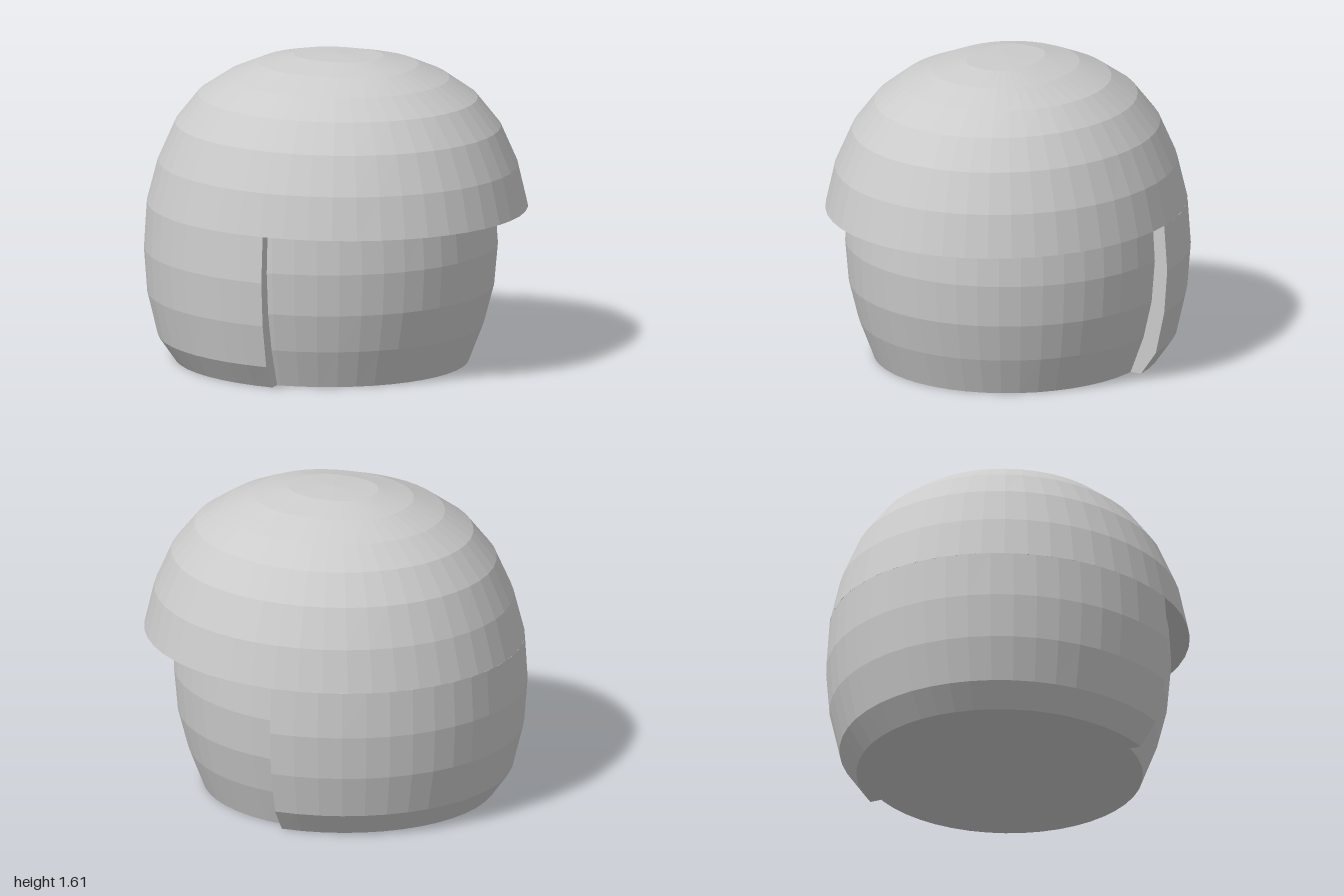
import * as THREE from 'three';

const SEGMENTS = 48;
const CUT_X = -0.04;   // vertical edge of the side opening
const BRIM_Y = 0.82;   // underside of the dome over the opening

// Closed ring in plan; power 2 is an ellipse, higher is squarer
function fullRing([y, cx, rx, rz, power = 2]) {
  const points = [];
  const curve = v => Math.sign(v) * Math.abs(v) ** (2 / power);
  for (let i = 0; i < SEGMENTS; i++) {
    const a = (i + 0.5) / SEGMENTS * Math.PI * 2;
    points.push([cx + rx * curve(Math.cos(a)), y, rz * curve(Math.sin(a))]);
  }
  return points;
}

// The same ring, cut off by a straight chord at CUT_X
function cutRing([y, cx, rx, rz]) {
  const points = [], half = SEGMENTS / 2;
  const start = Math.acos((CUT_X - cx) / rx);
  for (let i = 0; i <= half; i++) {
    const a = start + (2 * Math.PI - 2 * start) * i / half;
    points.push([cx + rx * Math.cos(a), y, rz * Math.sin(a)]);
  }
  return points;
}

// Solid through stacked rings, with fans closing both ends
function loft(name, rings, topRise = 0) {
  const n = rings[0].length, positions = rings.flat(2), index = [];
  for (let r = 0; r < rings.length - 1; r++) {
    for (let i = 0; i < n; i++) {
      const j = (i + 1) % n, a = r * n, b = a + n;
      index.push(a + i, b + i, a + j, b + i, b + j, a + j);
    }
  }
  [rings[0], rings[rings.length - 1]].forEach((ring, end) => {
    const centre = positions.length / 3;
    const mean = k => ring.reduce((sum, p) => sum + p[k], 0) / n;
    positions.push(mean(0), ring[0][1] + end * topRise, mean(2));
    const base = end ? (rings.length - 1) * n : 0;
    for (let i = 0; i < n; i++) {
      const j = (i + 1) % n;
      index.push(centre, base + (end ? j : i), base + (end ? i : j));
    }
  });
  const geometry = new THREE.BufferGeometry();
  geometry.setAttribute('position', new THREE.Float32BufferAttribute(positions, 3));
  geometry.setIndex(index);
  geometry.computeVertexNormals();
  const material = new THREE.MeshStandardMaterial({ color: 0xcccccc, flatShading: true });
  const mesh = new THREE.Mesh(geometry, material);
  mesh.name = name;
  return mesh;
}

export function createModel() {
  const group = new THREE.Group();
  group.name = 'cutawayDome';

  // Upper dome with overhanging brim: y, centre x, half width, half depth
  const dome = [
    [BRIM_Y, 0.007, 0.993, 0.912],
    [1.04, 0.01, 0.938, 0.863],
    [1.24, 0.01, 0.85, 0.775],
    [1.39, 0.01, 0.73, 0.66],
    [1.49, 0.01, 0.58, 0.53],
    [1.56, 0.012, 0.417, 0.355, 2.15],
    [1.602, 0.013, 0.235, 0.18, 2.3],
  ];
  group.add(loft('upperDome', dome.map(fullRing), 0.008));

  // Lower outer shell, on the closed side only
  const shell = [
    [0, 0.007, 0.847, 0.775],
    [0.125, 0.007, 0.935, 0.862],
    [0.35, 0.007, 0.99, 0.912],
    [0.58, 0.007, 1.007, 0.93],
    [BRIM_Y, 0.007, 0.993, 0.912],
  ];
  group.add(loft('lowerShell', shell.map(cutRing)));

  // Inner core, exposed under the brim
  const core = [
    [0, -0.07, 0.755, 0.713],
    [0.2, -0.07, 0.832, 0.79],
    [0.4, -0.07, 0.885, 0.838],
    [0.62, -0.07, 0.905, 0.857],
    [BRIM_Y, -0.07, 0.89, 0.845],
  ];
  group.add(loft('innerCore', core.map(fullRing)));

  return group;
}
